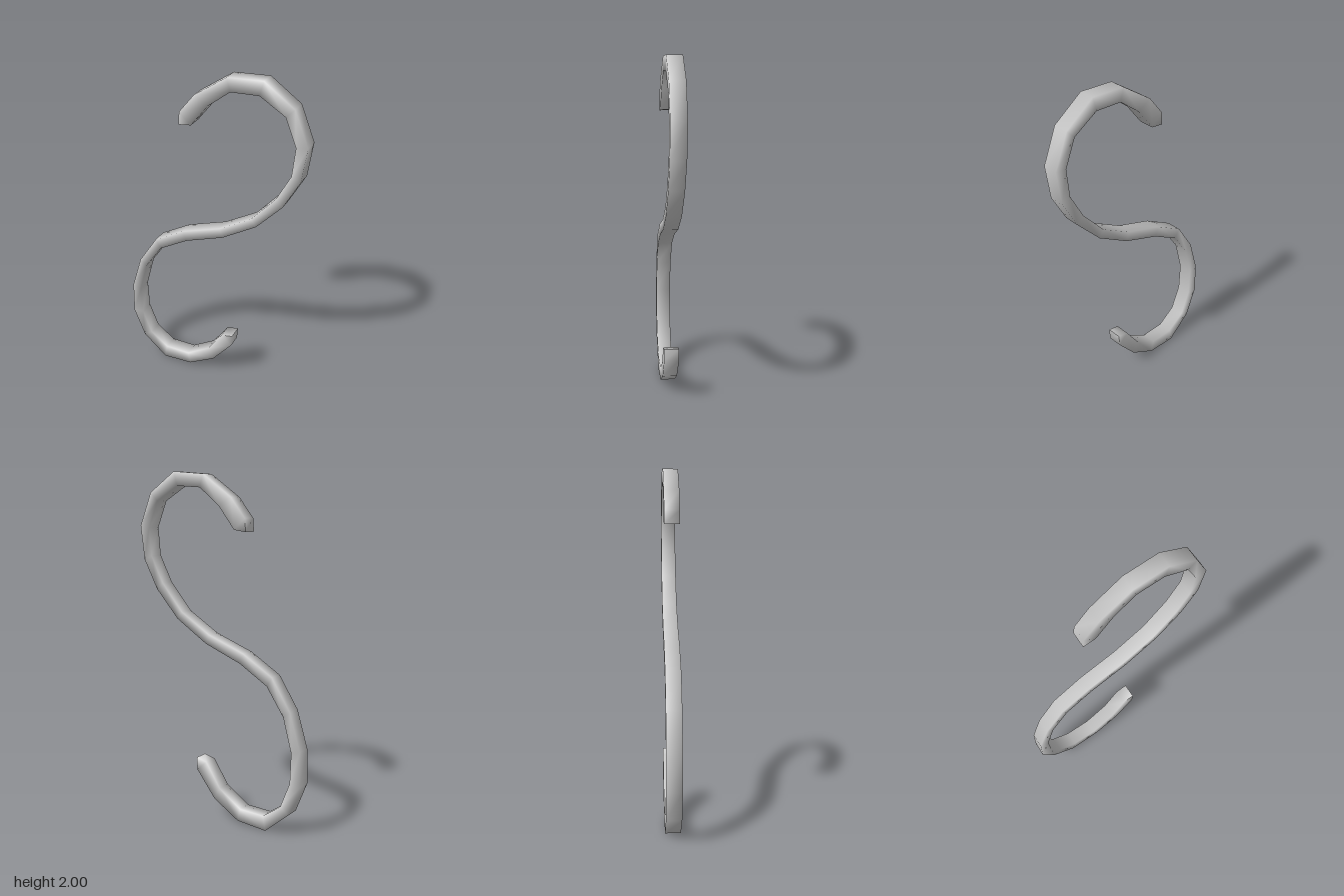
import * as THREE from 'three';

// Stations along the S, from upper tip to lower tip: left edge (x, y), right edge (x, y).
const STATIONS = [
  [-0.185, 1.672, -0.185, 1.672],
  [-0.18, 1.746, -0.111, 1.683],
  [-0.09, 1.857, -0.011, 1.81],
  [0.095, 1.984, 0.116, 1.91],
  [0.296, 2.0, 0.275, 1.92],
  [0.466, 1.884, 0.418, 1.836],
  [0.545, 1.693, 0.481, 1.683],
  [0.519, 1.497, 0.466, 1.519],
  [0.429, 1.328, 0.386, 1.365],
  [0.28, 1.164, 0.249, 1.206],
  [0.079, 1.037, 0.058, 1.09],
  [-0.153, 0.947, -0.175, 1.005],
  [-0.328, 0.841, -0.36, 0.894],
  [-0.434, 0.683, -0.476, 0.714],
  [-0.487, 0.487, -0.54, 0.503],
  [-0.481, 0.312, -0.545, 0.302],
  [-0.423, 0.164, -0.476, 0.127],
  [-0.312, 0.085, -0.328, 0.0],
  [-0.159, 0.09, -0.143, 0.016],
  [-0.016, 0.185, 0.021, 0.116],
  [0.079, 0.328, 0.143, 0.27],
  [0.148, 0.344, 0.148, 0.344],
];
const HALF_DEPTH = 0.043;

// Four-sided bar swept through the stations, closed to a wedge at each tip.
function sweepBar(stations, h) {
  const positions = [];
  const index = [];
  stations.forEach(([lx, ly, rx, ry], i) => {
    positions.push(lx, ly, h, rx, ry, h, rx, ry, -h, lx, ly, -h);
    if (i === stations.length - 1) return;
    for (let j = 0; j < 4; j++) {
      const a = i * 4 + j;
      const b = i * 4 + (j + 1) % 4;
      index.push(a, b, b + 4, a, b + 4, a + 4);
    }
  });
  const geometry = new THREE.BufferGeometry();
  geometry.setAttribute('position', new THREE.Float32BufferAttribute(positions, 3));
  geometry.setIndex(index);
  geometry.computeVertexNormals();
  return geometry;
}

export function createModel() {
  const group = new THREE.Group();
  group.name = 'sHook';
  const material = new THREE.MeshStandardMaterial({ color: 0xcccccc });
  const hook = new THREE.Mesh(sweepBar(STATIONS, HALF_DEPTH), material);
  hook.name = 'hookBar';
  group.add(hook);
  return group;
}
